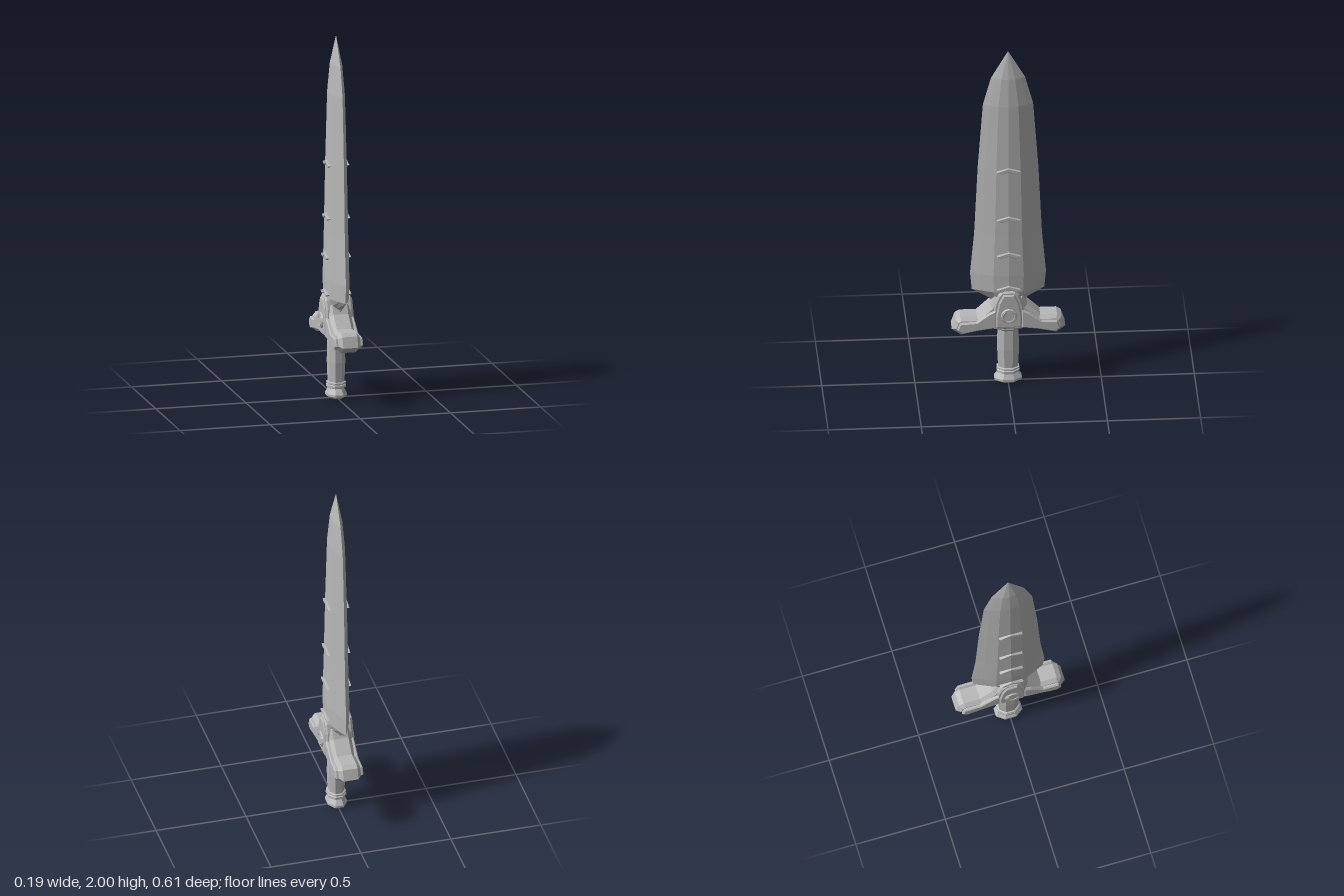
import * as THREE from 'three';

const steel = new THREE.MeshStandardMaterial({ color: 0xb8b8b8, flatShading: true });
steel.name = 'steel grey';

function add(group, name, geometry) {
  const mesh = new THREE.Mesh(geometry, steel);
  mesh.name = name;
  group.add(mesh);
  return mesh;
}

// Slab through the sword: outline in (z, y), reaching x = -half .. half
function slab(points, half, bevel) {
  const shape = new THREE.Shape(points.map(([z, y]) => new THREE.Vector2(z, y)));
  const geo = new THREE.ExtrudeGeometry(shape, {
    depth: 2 * (half - bevel), bevelEnabled: bevel > 0, bevelThickness: bevel,
    bevelSize: bevel, bevelOffset: -bevel, bevelSegments: 1, curveSegments: 6,
  });
  geo.translate(0, 0, bevel - half);
  geo.rotateY(-Math.PI / 2);
  return geo;
}

// Completes a right-hand outline with its mirror image across z = 0
function mirrored(points) {
  const other = points.filter(([z]) => z !== 0).reverse().map(([z, y]) => [-z, y]);
  return [...points, ...other];
}

// Lofted blade: each section is [y, half width, half thickness]
function bladeGeometry() {
  const sections = [
    [0.46, 0.07, 0.045], [0.505, 0.105, 0.052], [0.56, 0.195, 0.06], [0.66, 0.204, 0.062],
    [0.9, 0.182, 0.057], [1.3, 0.163, 0.05], [1.68, 0.135, 0.041], [1.84, 0.092, 0.029], [2, 0, 0],
  ];
  const quarter = [[1, 0], [0.75, 0.38], [0.4, 0.85], [0, 1]];
  const half = [...quarter, ...quarter.slice(0, 3).reverse().map(([z, x]) => [-z, x])];
  const ring = [...half, ...half.slice(1, -1).reverse().map(([z, x]) => [z, -x])];
  const n = ring.length;
  const pos = [], index = [];
  for (const [y, w, t] of sections) for (const [z, x] of ring) pos.push(x * t, y, z * w);
  for (let s = 0; s < sections.length - 1; s++) {
    for (let i = 0; i < n; i++) {
      const a = s * n + i, b = s * n + (i + 1) % n;
      index.push(a, b, b + n);
      if (s < sections.length - 2) index.push(a, b + n, a + n);
    }
  }
  for (let i = 1; i < n - 1; i++) index.push(0, i + 1, i);
  const geo = new THREE.BufferGeometry();
  geo.setAttribute('position', new THREE.Float32BufferAttribute(pos, 3));
  geo.setIndex(index);
  geo.computeVertexNormals();
  return geo;
}

// Eight-sided turned piece, squashed in x; profile is [half depth, y]
function turned(profile, squash) {
  const k = 1 / Math.cos(Math.PI / 8);
  const pts = profile.map(([r, y]) => new THREE.Vector2(r * k, y));
  const geo = new THREE.LatheGeometry(pts, 8, Math.PI / 8);
  geo.scale(squash, 1, 1);
  return geo;
}

export function createModel() {
  const sword = new THREE.Group();
  sword.name = 'sword';

  add(sword, 'blade', bladeGeometry());

  // Raised chevrons along both flats
  for (const [y, reach] of [[0.575, 0.07], [0.778, 0.068], [0.994, 0.063], [1.286, 0.058]]) {
    const outline = mirrored([[0, 0.006], [0.038, -0.008], [0.064, 0.006], [0, 0.028]]
      .map(([z, dy]) => [z, y + dy]));
    add(sword, 'bladeChevron', slab(outline, reach, 0.003));
  }

  // Crossguard body with chamfered ends
  const guard = mirrored([
    [0, 0.335], [0.07, 0.345], [0.165, 0.325], [0.255, 0.306], [0.305, 0.342],
    [0.285, 0.4], [0.26, 0.415], [0.17, 0.415], [0.1, 0.48], [0.075, 0.53], [0, 0.53],
  ]);
  add(sword, 'guard', slab(guard, 0.061, 0.02));

  // Raised side plates on each arm
  for (const s of [1, -1]) {
    const wing = [
      [0.07, 0.355], [0.165, 0.342], [0.25, 0.325], [0.277, 0.347],
      [0.262, 0.388], [0.175, 0.392], [0.11, 0.44], [0.07, 0.46],
    ].map(([z, y]) => [z * s, y]);
    add(sword, 'guardArmPlate', slab(s > 0 ? wing : wing.reverse(), 0.078, 0.006));
  }

  // Stepped centre plates
  add(sword, 'centreFrame', slab(mirrored([
    [0.078, 0.345], [0.085, 0.42], [0.075, 0.5], [0.055, 0.55], [0.035, 0.57],
  ]), 0.073, 0.008));
  add(sword, 'centrePlate', slab(mirrored([
    [0.068, 0.358], [0.07, 0.42], [0.055, 0.505], [0.03, 0.555],
  ]), 0.082, 0.007));

  // Round boss with an open ring on each side
  for (const s of [1, -1]) {
    const boss = new THREE.CylinderGeometry(0.04, 0.047, 0.01, 12);
    boss.rotateZ(-s * Math.PI / 2);
    add(sword, 'boss', boss).position.set(s * 0.084, 0.43, 0);
    const ring = new THREE.TorusGeometry(0.031, 0.006, 5, 14, Math.PI * 1.6);
    ring.rotateZ(Math.PI * 0.7);
    ring.rotateY(Math.PI / 2);
    add(sword, 'bossRing', ring).position.set(s * 0.087, 0.43, 0);
  }

  // Grip, collars and pommel
  add(sword, 'grip', turned([[0.05, 0.05], [0.053, 0.09], [0.058, 0.2], [0.055, 0.34]], 0.78));
  add(sword, 'upperCollar', turned([
    [0.05, 0.315], [0.06, 0.322], [0.066, 0.33], [0.066, 0.345], [0.05, 0.35],
  ], 0.8));
  add(sword, 'lowerCollar', turned([
    [0.05, 0.055], [0.061, 0.06], [0.061, 0.073], [0.055, 0.077], [0.06, 0.08], [0.06, 0.088], [0.05, 0.093],
  ], 0.82));
  add(sword, 'pommel', turned([
    [0, 0], [0.05, 0], [0.074, 0.014], [0.074, 0.026], [0.058, 0.048], [0.05, 0.058], [0, 0.058],
  ], 0.72));

  return sword;
}
